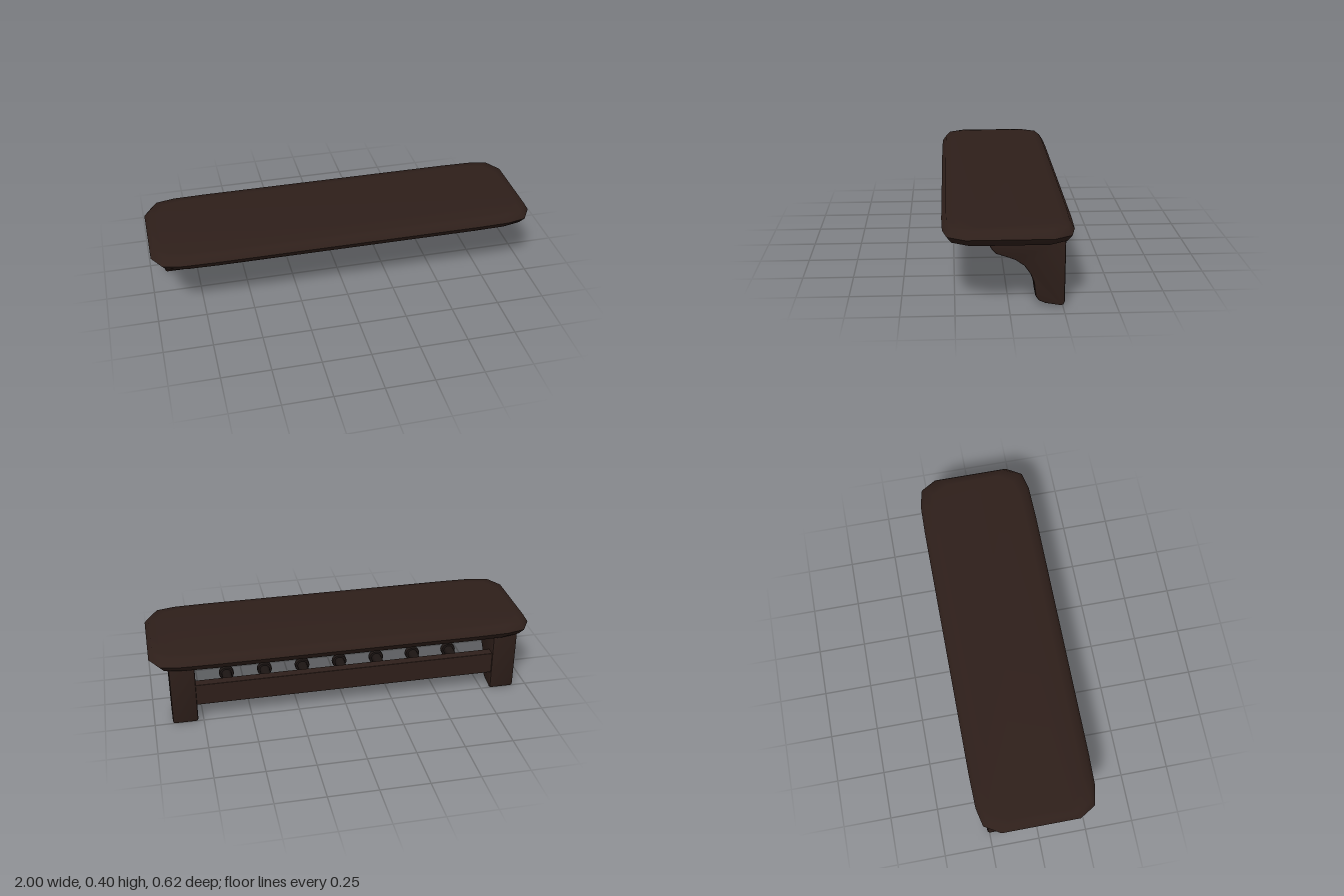
import * as THREE from 'three';
import { toCreasedNormals } from 'three/addons/utils/BufferGeometryUtils.js';
import { RoundedBoxGeometry } from 'three/addons/geometries/RoundedBoxGeometry.js';

const wood = new THREE.MeshStandardMaterial({ color: 0x2e1f1a });
const pegWood = new THREE.MeshStandardMaterial({ color: 0x1c1513 });

function add(parent, name, geometry, material = wood) {
  const mesh = new THREE.Mesh(geometry, material);
  mesh.name = name;
  parent.add(mesh);
  return mesh;
}

// Shelf board: stacked rings of a rectangle with chamfered corners, pointed at the rim
function boardGeometry() {
  const corner = [[1, 0.2], [0.95, 0.283], [0.855, 0.304], [0.69, 0.308]];
  const mirrored = [...corner].reverse();
  const outline = [
    ...corner,
    ...mirrored.map(([x, z]) => [-x, z]),
    ...corner.map(([x, z]) => [-x, -z]),
    ...mirrored.map(([x, z]) => [x, -z]),
  ];
  const levels = [[0.323, 0.06], [0.328, 0.021], [0.361, 0], [0.395, 0.021], [0.4, 0.06]];
  const n = outline.length;
  const positions = [], index = [];
  for (const [y, inset] of levels)
    for (const [x, z] of outline)
      positions.push(x - Math.sign(x) * inset, y, z - Math.sign(z) * inset);
  for (let l = 0; l < levels.length - 1; l++)
    for (let i = 0; i < n; i++) {
      const a = l * n + i, b = l * n + (i + 1) % n;
      index.push(a, a + n, b, b, a + n, b + n);
    }
  // Flat underside and top
  const top = (levels.length - 1) * n;
  for (let i = 1; i < n - 1; i++) {
    index.push(0, i, i + 1);
    index.push(top, top + i + 1, top + i);
  }
  const geometry = new THREE.BufferGeometry();
  geometry.setAttribute('position', new THREE.Float32BufferAttribute(positions, 3));
  geometry.setIndex(index);
  return toCreasedNormals(geometry, 1.1);
}

// Bracket: curved side profile (z, y) extruded across x with softened edges
function bracketGeometry(width) {
  const profile = [
    [0.103, 0.328], [0.08, 0.283], [0.06, 0.26], [0, 0.24], [-0.03, 0.228], [-0.07, 0.2],
    [-0.098, 0.16], [-0.114, 0.12], [-0.123, 0.05], [-0.139, 0.027], [-0.17, 0.013],
    [-0.24, 0.001], [-0.254, 0.004], [-0.26, 0.02], [-0.261, 0.328],
  ];
  const shape = new THREE.Shape(profile.map(([z, y]) => new THREE.Vector2(-z, y)));
  const bevel = 0.01;
  const geometry = new THREE.ExtrudeGeometry(shape, {
    depth: width - 2 * bevel, bevelEnabled: true, bevelThickness: bevel,
    bevelSize: bevel, bevelOffset: -bevel, bevelSegments: 2,
  });
  geometry.translate(0, 0, bevel - width / 2);
  geometry.rotateY(Math.PI / 2);
  return toCreasedNormals(geometry, 0.7);
}

// Peg: slim shaft ending in a flat round knob, pointing to +z
function pegGeometry() {
  const profile = [
    [0, -0.205], [0.026, -0.205], [0.026, -0.073], [0.036, -0.073],
    [0.039, -0.069], [0.039, -0.052], [0.036, -0.048], [0, -0.048],
  ].map(([r, z]) => new THREE.Vector2(r, z));
  const geometry = new THREE.LatheGeometry(profile, 20);
  geometry.rotateX(Math.PI / 2);
  return toCreasedNormals(geometry, 0.7);
}

export function createModel() {
  const group = new THREE.Group();
  group.name = 'wallShelf';

  add(group, 'shelfBoard', boardGeometry());

  const bracket = bracketGeometry(0.13);
  add(group, 'leftBracket', bracket).position.x = 0.843;
  add(group, 'rightBracket', bracket).position.x = -0.86;

  // Back rail between the brackets
  add(group, 'pegRail', new RoundedBoxGeometry(1.62, 0.117, 0.05, 2, 0.004))
    .position.set(-0.008, 0.158, -0.228);

  // Row of seven pegs
  const pegs = new THREE.Group();
  pegs.name = 'pegs';
  group.add(pegs);
  const peg = pegGeometry();
  for (let i = -3; i <= 3; i++)
    add(pegs, 'peg', peg, pegWood).position.set(-0.003 + i * 0.2025, 0.157, 0);

  return group;
}
